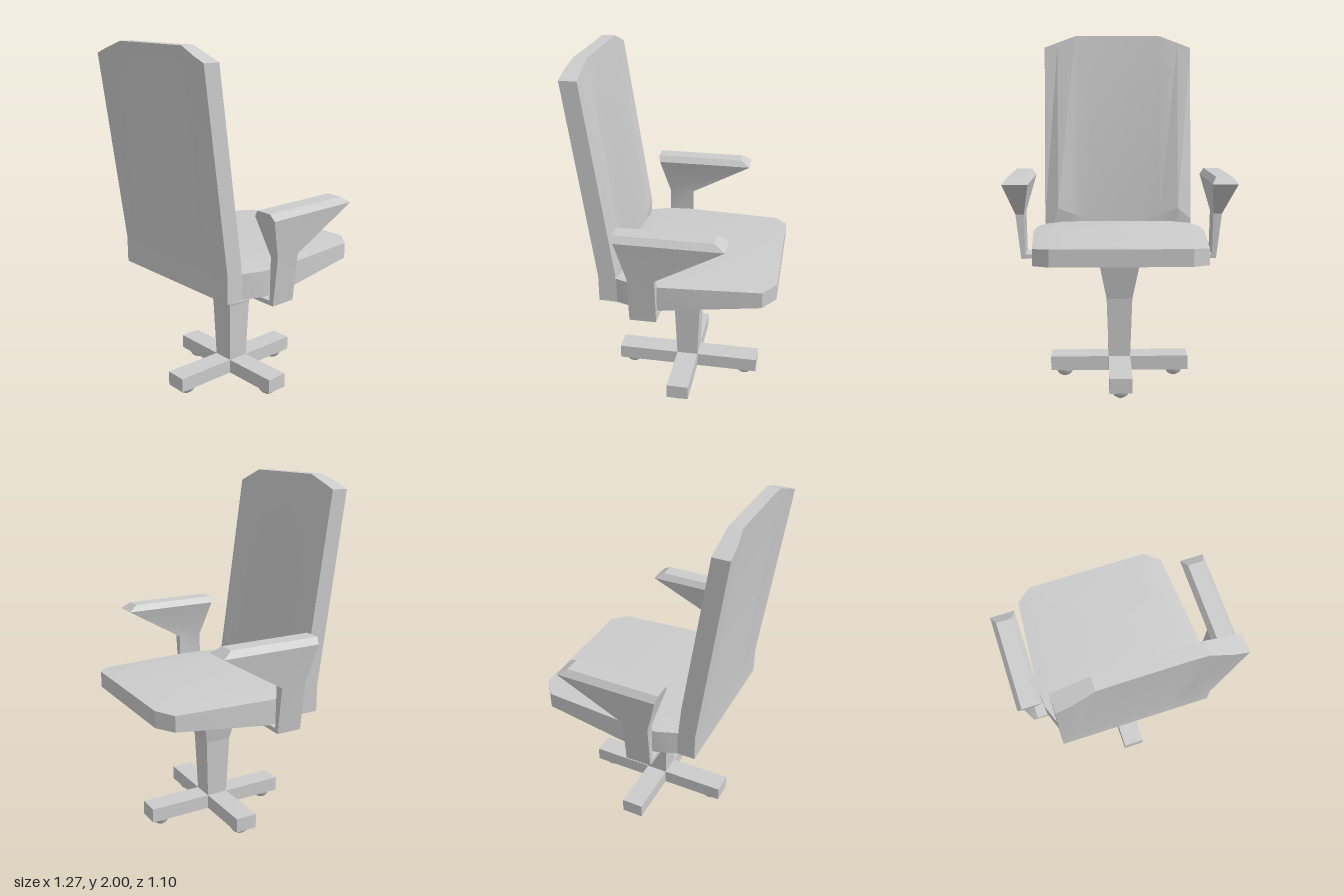
import * as THREE from 'three';
import { toCreasedNormals } from 'three/addons/utils/BufferGeometryUtils.js';

const material = new THREE.MeshStandardMaterial({ color: 0xcccccc });

// Skin over a series of closed cross-sections, capped at both ends
function loft(rings, crease = 0.3) {
  const n = rings[0].length;
  const index = [];
  for (let r = 0; r < rings.length - 1; r++) {
    for (let i = 0; i < n; i++) {
      const a = r * n + i, b = r * n + (i + 1) % n;
      index.push(a, b, b + n, a, b + n, a + n);
    }
  }
  const last = (rings.length - 1) * n;
  for (let i = 1; i < n - 1; i++) {
    index.push(0, i + 1, i, last, last + i, last + i + 1);
  }
  // Turn the faces outwards if the sections run the other way
  const pts = rings.flat().map((p) => new THREE.Vector3(...p));
  let volume = 0;
  for (let i = 0; i < index.length; i += 3) {
    volume += pts[index[i]].dot(pts[index[i + 1]].clone().cross(pts[index[i + 2]]));
  }
  if (volume < 0) index.reverse();
  const geometry = new THREE.BufferGeometry().setFromPoints(pts);
  geometry.setIndex(index);
  return toCreasedNormals(geometry, crease);
}

// Horizontal rectangle used as a cross-section
const rect = (y, x0, x1, z0, z1) => [[x0, y, z0], [x1, y, z0], [x1, y, z1], [x0, y, z1]];

function add(parent, name, geometry, x = 0, y = 0, z = 0) {
  const mesh = new THREE.Mesh(geometry, material);
  mesh.name = name;
  mesh.position.set(x, y, z);
  parent.add(mesh);
  return mesh;
}

function seatGeometry() {
  const half = [[0.37, -0.55], [0.46, -0.48], [0.5, 0.06], [0.49, 0.2], [0.45, 0.31], [0.45, 0.4]];
  const outline = [...half, ...half.map(([x, z]) => [-x, z]).reverse()];
  outline.push(...outline.splice(0, 2)); // caps fan out from the widest point
  const bottom = outline.map(([x, z]) => [x, 0.71 + 0.06 * Math.max(0, (0.06 - z) / 0.61), z]);
  const edge = outline.map(([x, z]) => [x, z < -0.5 ? 0.863 : 0.853, z]);
  const crown = outline.map(([x, z]) => [x * 0.75, 0.868, z * 0.85]);
  return loft([bottom, edge, crown]);
}

function backrestGeometry() {
  // x, top height, rear z at top, front z at the lower bolster, bolster height
  const stations = [
    [0.45, 1.93, 0.553, 0.315, 0.88],
    [0.37, 1.96, 0.55, 0.292, 0.95],
    [0.26, 2, 0.532, 0.305, 0.91],
    [0.16, 2, 0.53, 0.315, 0.88],
  ];
  const section = (x, [, top, rear, front, y]) => [
    [x, 0.86, 0.41], [x, top, rear], [x, top, 0.46],
    [x, y, front], [x, 0.71, 0.315], [x, 0.71, 0.41],
  ];
  return loft([
    ...stations.map((s) => section(-s[0], s)),
    ...stations.slice().reverse().map((s) => section(s[0], s)),
  ], 0.2);
}

function createArmrest(side) {
  const group = new THREE.Group();
  group.name = side > 0 ? 'leftArmrest' : 'rightArmrest';
  const mirror = (ring) => ring.map(([x, y, z]) => [x * side, y, z]);
  // Post flaring up into the pad
  add(group, 'armPad', loft([
    rect(0.685, 0.55, 0.575, 0.065, 0.21),
    rect(0.95, 0.555, 0.605, 0.065, 0.21),
    rect(1.165, 0.495, 0.635, -0.3, 0.266),
    rect(1.2, 0.52, 0.61, -0.245, 0.275),
  ].map(mirror)));
  // Flat bracket reaching under the seat
  add(group, 'armBracket', new THREE.BoxGeometry(0.235, 0.025, 0.145), side * 0.4525, 0.6975, 0.1375);
  return group;
}

function createBase() {
  const base = new THREE.Group();
  base.name = 'base';
  base.position.z = -0.01;
  // Square column, wider at the top
  add(base, 'column', loft([
    rect(0.12, -0.062, 0.062, -0.062, 0.062),
    rect(0.48, -0.074, 0.074, -0.076, 0.076),
    rect(0.73, -0.122, 0.122, -0.125, 0.125),
  ], 0.05));
  // Crossed feet
  add(base, 'crossFoot', new THREE.BoxGeometry(0.795, 0.083, 0.125), 0, 0.0915, 0);
  add(base, 'lengthFoot', new THREE.BoxGeometry(0.125, 0.083, 0.85), 0, 0.0915, 0);
  // Ball casters
  const ball = new THREE.SphereGeometry(0.055, 12, 8);
  for (const [x, z] of [[0.32, 0], [-0.32, 0], [0, 0.35], [0, -0.35]]) {
    add(base, 'caster', ball, x, 0.055, z);
  }
  return base;
}

export function createModel() {
  const chair = new THREE.Group();
  chair.name = 'officeChair';
  add(chair, 'seat', seatGeometry());
  add(chair, 'backrest', backrestGeometry());
  chair.add(createArmrest(1), createArmrest(-1), createBase());
  return chair;
}
